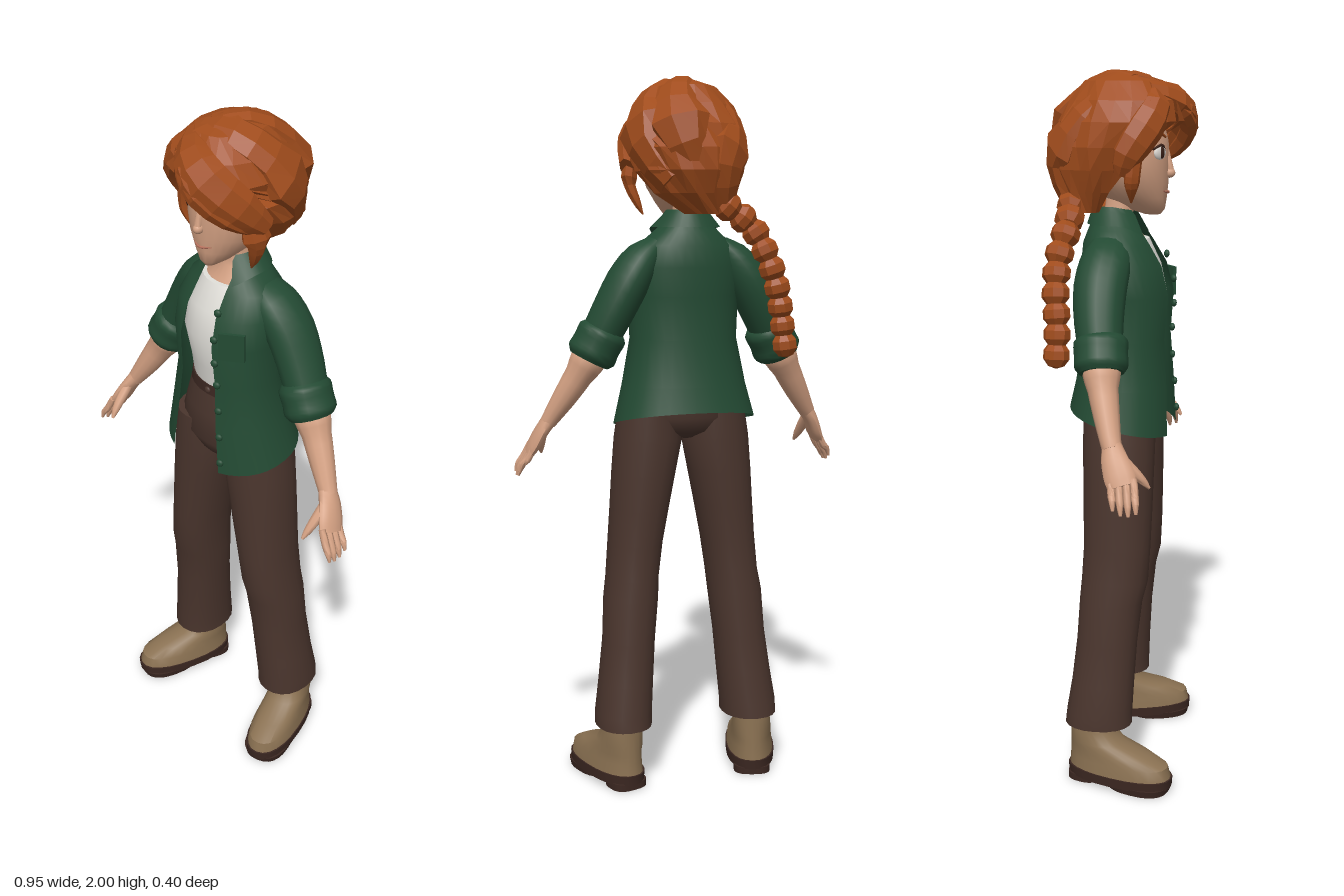
import * as THREE from 'three';
import { toCreasedNormals } from 'three/addons/utils/BufferGeometryUtils.js';

const V = (x, y, z) => new THREE.Vector3(x, y, z);

// Skin a list of point rings; closed rings get capped ends.
function skin(rings, closed, crease) {
  const n = rings[0].length, pos = [], idx = [];
  rings.flat().forEach(p => pos.push(p.x, p.y, p.z));
  const cols = closed ? n : n - 1;
  for (let i = 0; i < rings.length - 1; i++) for (let j = 0; j < cols; j++) {
    const k = (j + 1) % n, a = i * n + j, b = i * n + k, c = a + n, d = b + n;
    idx.push(a, b, c, b, d, c);
  }
  if (closed) for (const end of [0, rings.length - 1]) {
    const c = rings[end].reduce((s, p) => s.add(p), V(0, 0, 0)).divideScalar(n);
    const ci = pos.length / 3;
    pos.push(c.x, c.y, c.z);
    for (let j = 0; j < n; j++) {
      const a = end * n + j, b = end * n + (j + 1) % n;
      end ? idx.push(ci, a, b) : idx.push(ci, b, a);
    }
  }
  const g = new THREE.BufferGeometry();
  g.setAttribute('position', new THREE.Float32BufferAttribute(pos, 3));
  g.setIndex(idx);
  return toCreasedNormals(g, crease);
}

const sp = (v, p) => Math.sign(v) * Math.abs(v) ** p;

// Horizontal sections, top to bottom: [x, y, z, rx, rz, gapRight, gapLeft].
function stack(rows, { sides = 24, pow = 1, crease = 0.7, wob = 0, bend = () => 0 } = {}) {
  const open = rows[0].length > 5;
  const rings = rows.map(([x, y, z, rx, rz, gR = 0, gL = 0], i) => {
    const a0 = Math.PI / 2 + Math.asin(sp(gR / rx, 1 / pow));
    const a1 = Math.PI * 2.5 - Math.asin(sp(gL / rx, 1 / pow));
    return Array.from({ length: open ? sides + 1 : sides }, (_, j) => {
      const a = a0 + (a1 - a0) * j / sides, c = Math.cos(a), s = Math.sin(a);
      const r = 1 + wob * Math.cos(j * 2.1 + i * 1.3);
      return V(x + rx * r * sp(c, pow), y + bend(s, i, c), z + rz * r * sp(s, pow));
    });
  });
  return skin(rings, !open, crease);
}

// Sweep an ellipse along points [x, y, z, width, depth]; depth faces ref(point).
function sweep(pts, { sides = 12, steps = 10, crease = 0.8, ref = () => V(0, 0, 1) } = {}) {
  const path = new THREE.CatmullRomCurve3(pts.map(p => V(p[0], p[1], p[2])));
  const size = new THREE.CatmullRomCurve3(pts.map(p => V(p[3], p[4] ?? p[3], 0)));
  const rings = Array.from({ length: steps + 1 }, (_, i) => {
    const p = path.getPoint(i / steps), t = path.getTangent(i / steps), s = size.getPoint(i / steps);
    const u = ref(p).cross(t).normalize(), w = t.clone().cross(u);
    return Array.from({ length: sides }, (_, j) => {
      const a = j / sides * Math.PI * 2;
      return p.clone().addScaledVector(u, Math.cos(a) * s.x).addScaledVector(w, Math.sin(a) * s.y);
    });
  });
  return skin(rings, true, crease);
}

export function createModel() {
  const model = new THREE.Group();
  const mat = (name, color, side = THREE.FrontSide) => {
    const m = new THREE.MeshStandardMaterial({ color, side });
    m.name = name;
    return m;
  };
  const M = {
    skin: mat('skin', 0xd3a082), hair: mat('copper hair', 0xa04c1c, THREE.DoubleSide),
    green: mat('green cloth', 0x234a33, THREE.DoubleSide), white: mat('white cloth', 0xe2e0da),
    brown: mat('brown cloth', 0x4a352d), boot: mat('tan leather', 0x8a7152),
    sole: mat('dark leather', 0x3b2721), eye: mat('eye white', 0xf0ebe4),
    iris: mat('dark iris', 0x3a2118), lip: mat('lip', 0xb4705c),
  };
  const add = (name, geo, m, parent = model) => {
    const mesh = new THREE.Mesh(geo, m);
    mesh.name = name;
    parent.add(mesh);
    return mesh;
  };
  const ball = (name, m, p, s, ry = 0, seg = 14) => {
    const b = add(name, new THREE.SphereGeometry(1, seg, 10), m);
    b.position.set(...p); b.scale.set(...s); b.rotation.y = ry;
    return b;
  };

  // Head, neck and upper chest
  add('head', stack([[0.005, 1.93, 0, .05, .05], [0.005, 1.88, .005, .1, .108], [0.005, 1.81, .012, .114, .119],
    [0.005, 1.75, .014, .113, .118], [0.005, 1.70, .025, .096, .106], [0.005, 1.66, .042, .066, .085],
    [0.005, 1.63, .07, .036, .052], [0.005, 1.615, .088, .014, .022]], { sides: 28, crease: 1.2 }), M.skin);
  add('neck', stack([[0, 1.70, .005, .036, .04], [0, 1.62, -.005, .036, .04], [0, 1.585, -.01, .045, .045],
    [0, 1.555, -.005, .085, .07], [0, 1.5, 0, .1, .08]], { crease: 1.2 }), M.skin);
  ball('nose', M.skin, [.005, 1.727, .134], [.013, .014, .016]);
  add('noseBridge', sweep([[.005, 1.79, .126, .006], [.005, 1.735, .136, .01]], { steps: 3 }), M.skin);
  add('upperLip', sweep([[-.027, 1.680, .120, .002], [.005, 1.675, .131, .004], [.037, 1.680, .120, .002]],
    { sides: 6, ref: () => V(0, 0, 1) }), M.lip);
  for (const s of [1, -1]) {
    const x = .005 + s * .056;
    ball('eye', M.eye, [x, 1.783, .114], [.026, .019, .007], s * .5);
    ball('iris', M.iris, [x - s * .002, 1.783, .119], [.012, .016, .005], s * .45);
    add('eyelash', sweep([[x - s * .026, 1.788, .125, .002], [x, 1.803, .119, .004], [x + s * .03, 1.793, .1, .003]],
      { sides: 6 }), M.iris);
    add('eyebrow', sweep([[x - s * .03, 1.823, .125, .003], [x + s * .005, 1.833, .114, .005],
      [x + s * .034, 1.822, .093, .002]], { sides: 6 }), M.hair);
    ball('ear', M.skin, [.005 + s * .118, 1.765, .0], [.014, .032, .022], s * -.3);
  }

  // Hair cap, open at the face, with the parting on the right
  add('hairCap', stack([[0, 1.993, .01, .02, .03, 0, 0], [0, 1.97, .01, .085, .105, .03, -.03],
    [0, 1.92, .015, .135, .148, .05, -.05], [0, 1.865, 0, .16, .172, .055, -.045],
    [0, 1.80, -.03, .162, .162, .118, .102], [0, 1.74, -.05, .148, .142, .122, .118],
    [-.01, 1.68, -.065, .115, .1, .1, .095], [-.04, 1.625, -.085, .065, .05, .04, .04]],
    { sides: 20, crease: .1, wob: .035 }), M.hair);
  const fromHead = p => p.clone().sub(V(0, 1.8, -.01));
  const lock = (name, pts) => add(name, sweep(pts, { sides: 7, steps: 8, crease: .1, ref: fromHead }), M.hair);
  lock('leftFringe', [[-.06, 1.95, .08, .03, .02], [0, 1.925, .15, .05, .03], [.07, 1.88, .165, .062, .035],
    [.13, 1.815, .115, .055, .03], [.155, 1.755, .05, .03, .02]]);
  lock('frontCurl', [[-.05, 1.94, .1, .015, .015], [.01, 1.895, .17, .035, .028], [.06, 1.85, .178, .038, .026],
    [.115, 1.79, .135, .028, .022], [.14, 1.745, .08, .008, .008]]);
  lock('rightFringe', [[-.04, 1.95, .08, .03, .02], [-.085, 1.91, .11, .042, .025], [-.13, 1.85, .085, .05, .028],
    [-.15, 1.78, .04, .042, .024], [-.14, 1.73, .02, .02, .015]]);
  lock('leftCrown', [[-.04, 1.965, .07, .03, .015], [.05, 1.965, .05, .05, .028], [.12, 1.91, 0, .06, .03],
    [.14, 1.81, -.07, .06, .03], [.08, 1.71, -.13, .04, .025]]);
  lock('topCrown', [[-.03, 1.975, .05, .03, .012], [.02, 1.98, -.02, .04, .02], [.06, 1.92, -.11, .055, .028],
    [.05, 1.81, -.168, .055, .028], [-.02, 1.69, -.14, .035, .02]]);
  lock('rightCrown', [[-.06, 1.95, .03, .03, .012], [-.09, 1.92, -.05, .045, .02], [-.1, 1.84, -.125, .05, .025],
    [-.07, 1.75, -.165, .05, .025], [-.07, 1.66, -.13, .035, .025]]);
  lock('leftSideLock', [[.135, 1.77, .075, .026, .016], [.143, 1.71, .065, .026, .016], [.125, 1.66, .055, .016, .012],
    [.108, 1.625, .05, .002, .002]]);
  lock('rightSideLock', [[-.135, 1.77, .055, .024, .016], [-.135, 1.71, .05, .022, .014], [-.11, 1.655, .045, .003, .003]]);

  // Braid: overlapping faceted beads down the right of the back
  const braid = new THREE.CatmullRomCurve3([V(-.085, 1.645, -.12), V(-.155, 1.59, -.12), V(-.195, 1.51, -.138),
    V(-.225, 1.42, -.14), V(-.24, 1.34, -.134), V(-.25, 1.265, -.135)]);
  for (let i = 0; i < 9; i++) {
    const g = toCreasedNormals(new THREE.SphereGeometry(1, 8, 5), .1);
    const b = add('braidBead', g, M.hair), r = .043 - i * .0007;
    b.position.copy(braid.getPointAt(i / 8));
    b.quaternion.setFromUnitVectors(V(0, -1, 0), braid.getTangentAt(i / 8));
    b.scale.set(r, .037, r);
  }

  // White top
  add('undershirt', stack([[0, 1.55, 0, .092, .08], [0, 1.48, .005, .13, .108], [0, 1.4, .015, .138, .115],
    [0, 1.3, .01, .125, .1], [0, 1.225, .008, .122, .09]], { crease: 1 }), M.white);

  // Open overshirt with a dipped front hem
  add('overshirt', stack([[0, 1.61, -.015, .06, .058, .045, .045], [0, 1.575, -.008, .095, .08, .05, .05],
    [0, 1.54, -.005, .137, .096, .052, .05], [0, 1.48, .01, .16, .117, .058, .052],
    [0, 1.4, .023, .158, .126, .064, .056], [0, 1.28, .02, .153, .122, .07, .06],
    [0, 1.15, .014, .178, .138, .082, .07], [0, 1.045, .01, .204, .15, .1, .085]],
    { sides: 32, pow: .9, crease: 1, bend: (s, i) => i === 7 ? -.036 * s : 0 }), M.green);
  add('collar', stack([[0, 1.638, -.012, .058, .06, .036, .036], [0, 1.625, -.012, .068, .068, .036, .036],
    [0, 1.59, 0, .1, .092, .06, .06]],
    { sides: 24, bend: (s, i) => i === 2 ? -.05 * Math.max(0, s) ** 2 : -.012 * Math.max(0, s) }), M.green);
  [[1.5, .055, .122], [1.43, .06, .142], [1.36, .063, .143], [1.29, .066, .138], [1.21, .072, .139], [1.13, .08, .145],
    [1.05, .088, .15]].forEach(([y, x, z]) => ball('shirtButton', M.green, [x + .004, y, z], [.011, .011, .008], .3, 8));
  const pocket = add('chestPocket', new THREE.BoxGeometry(.07, .08, .009), M.green);
  pocket.position.set(.112, 1.42, .123);
  pocket.rotation.y = .6;

  // Trousers, waistband and fly
  add('hips', stack([[.0, 1.245, .005, .126, .094], [0, 1.15, .01, .15, .105], [.005, 1.06, .01, .186, .108],
    [.008, 1.02, .01, .13, .09], [.008, 1.0, .01, .03, .06]], { crease: 1 }), M.brown);
  add('belt', stack([[0, 1.243, .005, .13, .099], [0, 1.215, .005, .134, .102]]), M.sole);
  ball('waistButton', M.brown, [0, 1.228, .106], [.01, .01, .006]);

  for (const s of [1, -1]) {
    const side = s > 0 ? 'left' : 'right', m = pts => pts.map(([x, ...r]) => [x * s, ...r]);
    const leg = new THREE.Group();
    leg.name = side + 'Leg';
    leg.position.x = .008;
    model.add(leg);
    add('trouserLeg', stack(m([[.095, 1.1, .01, .085, .1], [.1, 1.0, .01, .096, .102], [.114, .9, .01, .09, .1],
      [.127, .8, .01, .083, .098], [.14, .7, .01, .077, .095], [.151, .6, .005, .074, .095], [.158, .54, -.005, .077, .09],
      [.168, .42, -.015, .074, .087], [.18, .3, -.025, .077, .09], [.19, .21, -.034, .08, .095], [.191, .175, -.036, .08, .097]]),
      { sides: 20, crease: .9, pow: .92 }), M.brown, leg);

    // Boot, turned outward
    const boot = new THREE.Group();
    boot.name = side + 'Boot';
    boot.position.set(s * .212, 0, -.008);
    boot.rotation.y = s * .29;
    leg.add(boot);
    add('bootUpper', stack([[0, .22, -.05, .05, .056], [0, .16, -.045, .054, .064], [0, .125, -.03, .058, .08],
      [0, .1, .01, .06, .122], [0, .075, .037, .065, .15], [0, .04, .04, .069, .156]], { pow: .88, crease: .8 }), M.boot, boot);
    add('bootSole', stack([[0, .043, .04, .072, .16], [0, .016, .04, .071, .158]], { pow: .85 }), M.sole, boot);
    add('bootTread', stack([[0, .02, .1, .068, .095], [0, 0, .1, .064, .09]], { pow: .8 }), M.sole, boot);
    add('bootHeel', stack([[0, .02, -.065, .054, .05], [0, 0, -.065, .054, .05]], { pow: .7 }), M.sole, boot);

    // Sleeve with a rolled cuff
    const arm = new THREE.Group();
    arm.name = side + 'Arm';
    model.add(arm);
    add('sleeve', sweep(m([[.095, 1.545, -.015, .025, .05], [.135, 1.5, -.02, .052, .07], [.175, 1.44, -.028, .06, .073],
      [.215, 1.365, -.026, .059, .068], [.255, 1.285, -.016, .055, .06]]), { sides: 16 }), M.green, arm);
    add('cuff', sweep(m([[.238, 1.315, -.018, .055, .06], [.246, 1.298, -.016, .07, .074], [.262, 1.268, -.013, .068, .072],
      [.274, 1.244, -.01, .071, .073], [.283, 1.226, -.008, .058, .06]]), { sides: 16 }), M.green, arm);

    // Forearm, palm, fingers and thumb
    add('forearm', sweep(m([[.265, 1.26, -.012, .042], [.3, 1.2, -.003, .042], [.345, 1.125, .015, .035],
      [.392, 1.05, .036, .023, .026]])), M.skin, arm);
    add('palm', sweep(m([[.385, 1.062, .034, .022, .026], [.408, 1.025, .046, .019, .036], [.425, .99, .06, .018, .041],
      [.438, .965, .07, .014, .038]])), M.skin, arm);
    for (let f = 0; f < 4; f++) {
      const z = .04 + f * .02, d = [.012, 0, -.002, .006][f];
      add('finger', sweep(m([[.43, .985, z - .002, .01], [.45, .945, z + .004, .0105],
        [.464, .92 + d, z + .008, .009], [.472, .897 + d, z + .01, .004]]), { sides: 8, steps: 6 }), M.skin, arm);
    }
    add('thumb', sweep(m([[.402, 1.035, .055, .016], [.4, 1.0, .09, .015], [.396, .97, .118, .011],
      [.392, .95, .134, .004]]), { sides: 8, steps: 6, ref: () => V(1, 0, 0) }), M.skin, arm);
  }
  return model;
}
